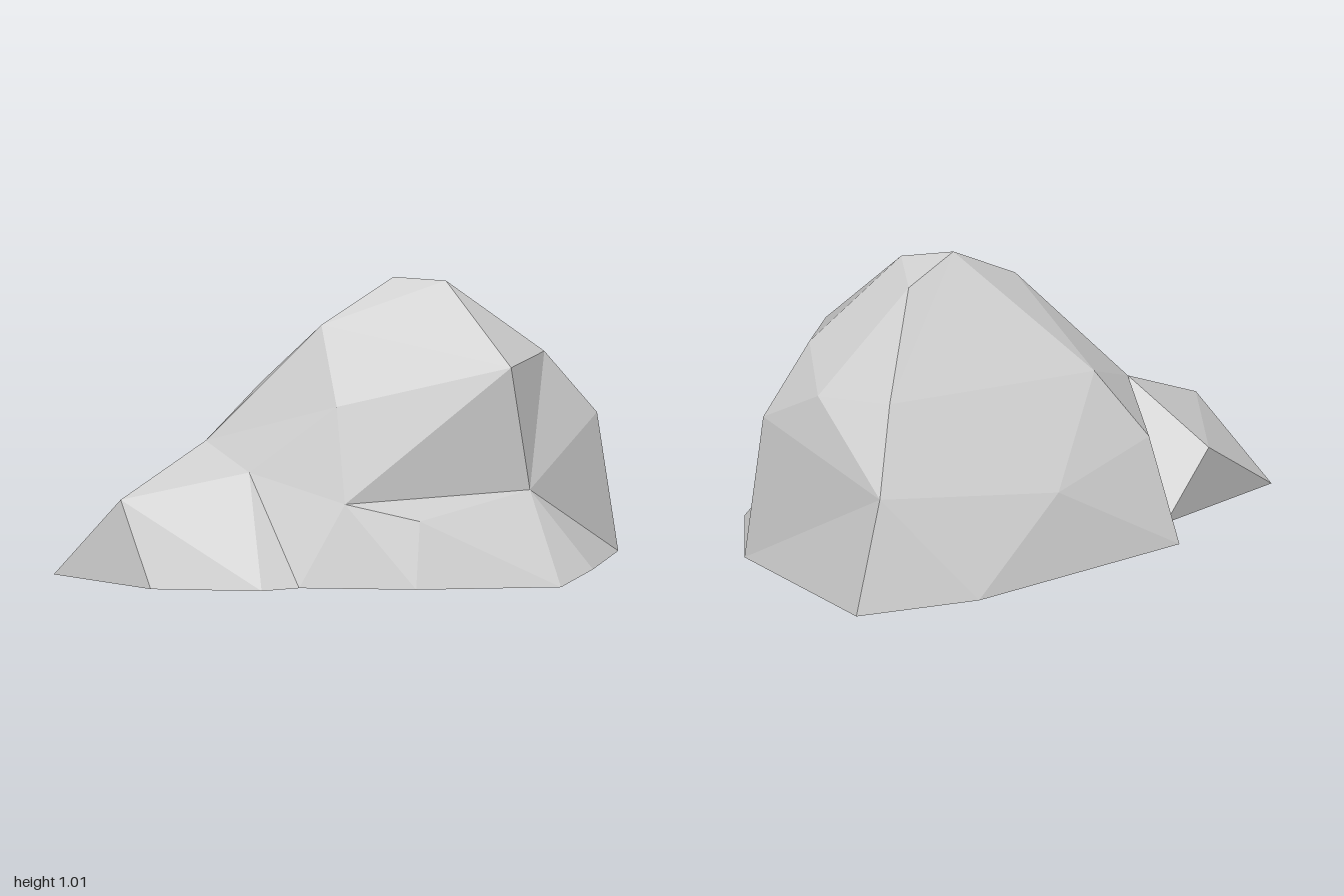
import * as THREE from 'three';

const stone = new THREE.MeshStandardMaterial({ color: 0xcccccc, flatShading: true, side: THREE.DoubleSide });
stone.name = 'grey stone';

// Corners shared by neighbouring rings
const saddle = [-0.47, 0.47, 0.10];   // where the small boulder meets the main mass
const ledge = [-0.08, 0.30, 0.52];    // left end of the front ledge
const brow = [-0.08, 0.62, 0.40];     // bulge above the ledge
const shoulder = [-0.08, 0.87, 0.18];

// Cross-sections, each running from the +x side round the back to the front
const rim = [
  [1, 0.02, 0.06], [0.91, 0, -0.66], [0.45, 0, -0.67], [-0.42, 0.02, -0.43],
  [-0.48, 0.02, -0.19], [-1, 0.02, 0.07], [-0.8, 0.055, 0.65], [-0.39, 0.02, 0.58],
  [-0.25, 0.02, 0.55], [0.14, 0.015, 0.65], [0.65, 0.005, 0.66], [0.81, 0.03, 0.47],
];
const middle = [
  [0.92, 0.51, 0.08], [0.77, 0.37, -0.55], [0.07, 0.29, -0.50], [-0.37, 0.375, -0.29],
  saddle, [-0.67, 0.25, -0.13], [-0.82, 0.31, 0.30], [-0.37, 0.39, 0.32],
  ledge, [0.17, 0.24, 0.58], [0.61, 0.30, 0.375],
];
const upper = [
  [0.72, 0.74, 0.135], [0.81, 0.63, -0.13], [0.64, 0.64, -0.35], [-0.20, 0.61, -0.21],
  saddle, brow, ledge, [0.54, 0.73, 0.39],
];
const crown = [
  [0.37, 1.0, 0.14], [0.42, 0.94, -0.03], [0.20, 1.01, 0.08], shoulder, brow, shoulder,
];

// Joins two rings; each letter adds one triangle by stepping the lower (L) or upper (U) ring
function sew(out, low, high, steps) {
  let i = 0, j = 0;
  for (const step of steps) {
    const a = low[i % low.length], b = high[j % high.length];
    const c = step === 'L' ? low[++i % low.length] : high[++j % high.length];
    if (a !== b && b !== c && a !== c) out.push(...a, ...c, ...b);
  }
}

export function createModel() {
  const points = [];
  sew(points, rim, middle, 'ULLULULUULULLULULULULLU');
  sew(points, middle, upper, 'ULULULLULLLULULLUUL');
  sew(points, upper, crown, 'ULLULULLULLUUL');
  // Peak facets closing the crown
  for (const k of [1, 2]) points.push(...crown[0], ...crown[k], ...crown[k + 1]);

  const geometry = new THREE.BufferGeometry();
  geometry.setAttribute('position', new THREE.Float32BufferAttribute(points, 3));
  geometry.computeVertexNormals();

  const rock = new THREE.Mesh(geometry, stone);
  rock.name = 'rock';
  const model = new THREE.Group();
  model.name = 'boulder';
  model.add(rock);
  return model;
}
